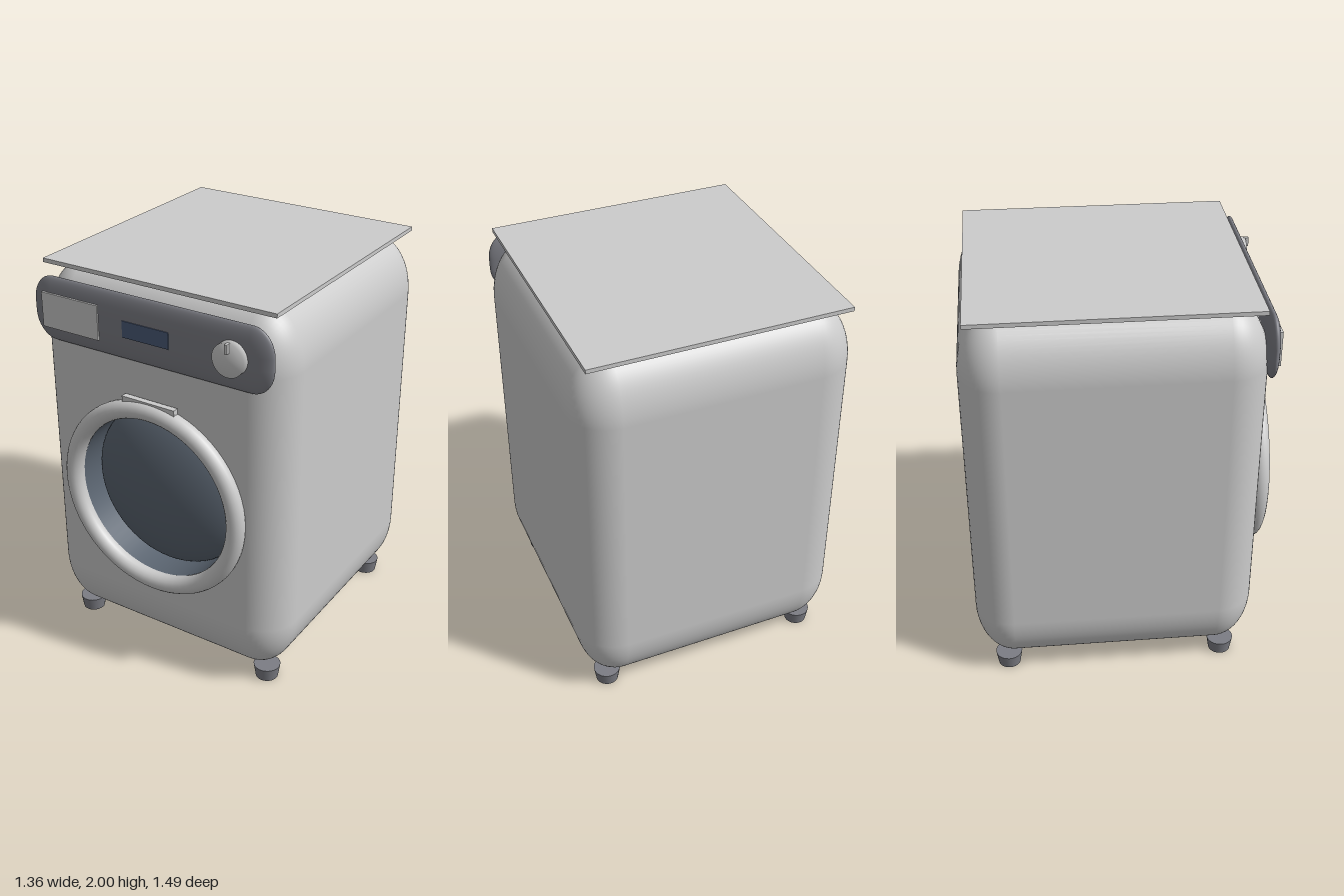
import * as THREE from 'three';
import { mergeGeometries } from 'three/addons/utils/BufferGeometryUtils.js';
import { RoundedBoxGeometry } from 'three/addons/geometries/RoundedBoxGeometry.js';

const mat = (color) => new THREE.MeshStandardMaterial({ color });
const DOOR_Y = 0.935;

// Box with a different rounding radius along each axis
function softBox(w, h, d, rx, ry, rz) {
  return new RoundedBoxGeometry(w / rx, h / ry, d / rz, 7, 1).scale(rx, ry, rz);
}

// Replaces the flat front facet of a soft box with a panel that has a round hole
function cutFrontHole(geo, holeY, holeR) {
  geo.computeBoundingBox();
  const front = geo.boundingBox.max.z - 1e-4;
  const src = geo.attributes;
  const keep = { position: [], normal: [], uv: [] };
  const flat = new THREE.Box2();
  for (let i = 0; i < src.position.count; i += 3) {
    const isFront = [0, 1, 2].every((k) => src.position.getZ(i + k) > front);
    for (let k = i; k < i + 3; k++) {
      if (isFront) flat.expandByPoint(new THREE.Vector2(src.position.getX(k), src.position.getY(k)));
      else for (const n in keep) {
        for (let c = 0; c < src[n].itemSize; c++) keep[n].push(src[n].array[k * src[n].itemSize + c]);
      }
    }
  }
  const shell = new THREE.BufferGeometry();
  for (const n in keep) shell.setAttribute(n, new THREE.Float32BufferAttribute(keep[n], src[n].itemSize));
  const { min, max } = flat;
  const shape = new THREE.Shape([
    new THREE.Vector2(min.x, min.y), new THREE.Vector2(max.x, min.y),
    new THREE.Vector2(max.x, max.y), new THREE.Vector2(min.x, max.y),
  ]);
  shape.holes.push(new THREE.Path().absarc(0, holeY, holeR, 0, Math.PI * 2, true));
  const panel = new THREE.ShapeGeometry(shape, 48).translate(0, 0, geo.boundingBox.max.z).toNonIndexed();
  return mergeGeometries([shell, panel]);
}

export function createModel() {
  const model = new THREE.Group();
  const grey = mat(0xcccccc);
  const trim = mat(0x7c7d84);
  const glass = mat(0x5a6470);
  glass.side = THREE.DoubleSide;

  function add(name, geo, material, x, y, z, parent = model) {
    const mesh = new THREE.Mesh(geo, material);
    mesh.name = name;
    mesh.position.set(x, y, z);
    parent.add(mesh);
    return mesh;
  }

  // Cabinet and worktop
  const bodyY = 1.025;
  const body = softBox(1.36, 1.91, 1.4, 0.2, 0.29, 0.19);
  add('cabinet', cutFrontHole(body, DOOR_Y - bodyY, 0.45), grey, 0, bodyY, -0.04);
  add('worktop', new THREE.BoxGeometry(1.25, 0.02, 1.32), grey, 0, 1.99, -0.04);

  // Round door: ring, recess wall, domed glass and grip
  const door = new THREE.Group();
  door.name = 'door';
  door.position.y = DOOR_Y;
  model.add(door);
  add('doorRing', new THREE.TorusGeometry(0.465, 0.045, 20, 64), grey, 0, 0, 0.68, door);
  const wall = new THREE.CylinderGeometry(0.425, 0.425, 0.2, 64, 1, true).rotateX(Math.PI / 2);
  add('doorRecess', wall, glass, 0, 0, 0.59, door);
  const dome = new THREE.SphereGeometry(0.425, 64, 20, 0, Math.PI * 2, 0, Math.PI / 2)
    .rotateX(Math.PI / 2).scale(1, 1, 0.4);
  add('doorGlass', dome, glass, 0, 0, 0.5, door);
  add('doorGrip', new THREE.BoxGeometry(0.29, 0.035, 0.03), grey, 0, 0.498, 0.68, door);

  // Control panel with drawer, display and dial
  add('controlPanel', softBox(1.29, 0.315, 0.06, 0.11, 0.13, 0.03), trim, 0, 1.787, 0.663);
  add('detergentDrawer', new THREE.BoxGeometry(0.32, 0.17, 0.04), grey, -0.42, 1.785, 0.68);
  add('display', new THREE.BoxGeometry(0.25, 0.08, 0.03), mat(0x4a5a78), 0, 1.787, 0.682);
  const dialProfile = [[0.08, 0], [0.08, 0.04], [0, 0.04]].map(([r, y]) => new THREE.Vector2(r, y));
  add('dial', new THREE.LatheGeometry(dialProfile, 40).rotateX(Math.PI / 2), grey, 0.45, 1.787, 0.687);
  add('dialPointer', new THREE.BoxGeometry(0.014, 0.045, 0.025), grey, 0.452, 1.845, 0.733);

  // Feet
  const foot = new THREE.CylinderGeometry(0.067, 0.056, 0.07, 24);
  for (const x of [-0.545, 0.545]) {
    for (const z of [0.51, -0.585]) add('foot', foot, trim, x, 0.035, z);
  }
  return model;
}
